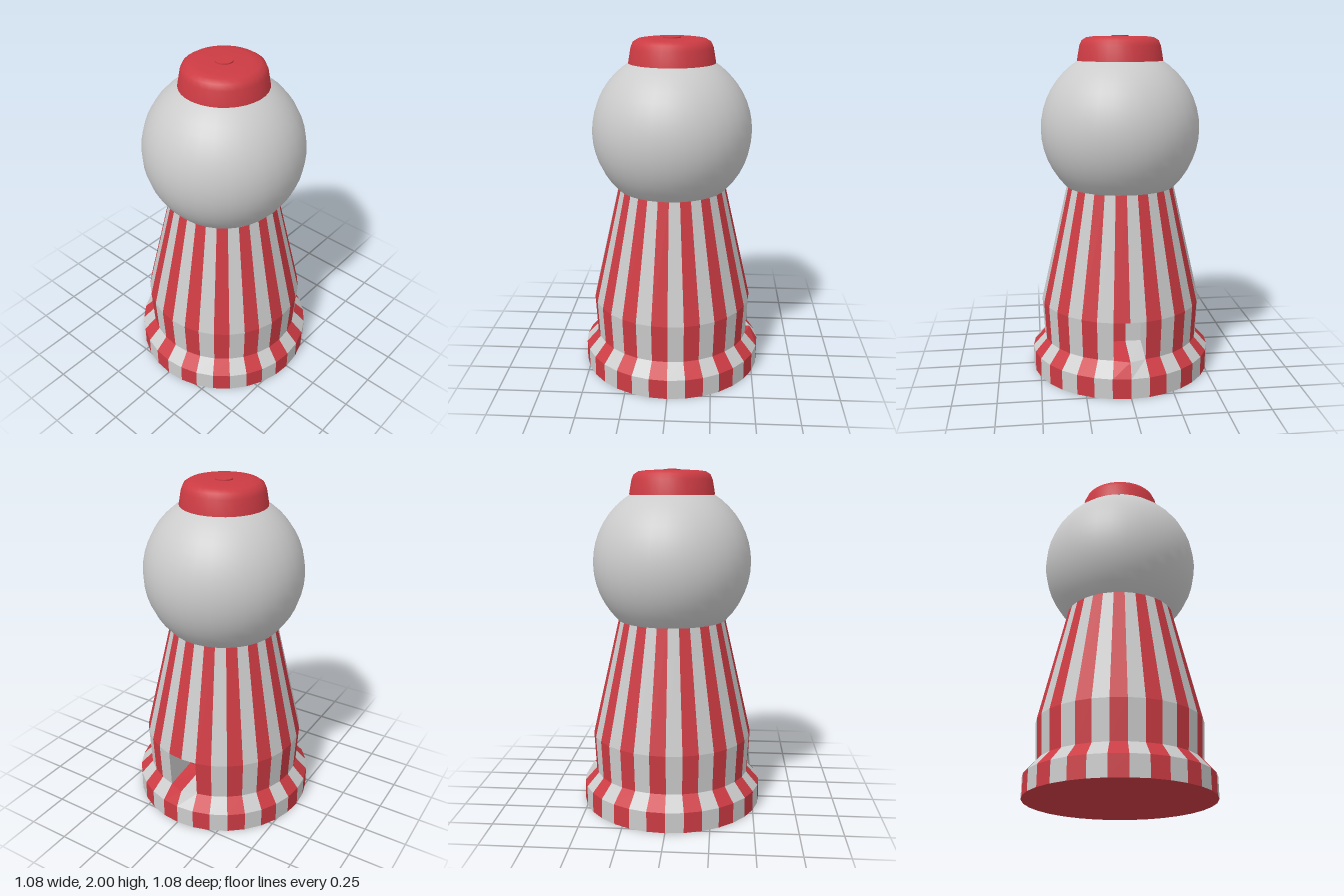
import * as THREE from 'three';
import { toCreasedNormals } from 'three/addons/utils/BufferGeometryUtils.js';

const SIDES = 32;
const STEP = (Math.PI * 2) / SIDES;
const RED = 0xcc3b43;

// Body outline from the floor up: [radius, height]
const OUTLINE = [[0.54, 0], [0.54, 0.12], [0.468, 0.2], [0.48, 0.43], [0.32, 1.125]];
const SLOT_BAND = 2; // outline band that the dispenser slot opens in
const BACK = SIDES / 2; // corner index at the middle of the back

function material(color) {
  return new THREE.MeshStandardMaterial({ color, flatShading: true, side: THREE.DoubleSide });
}

function addMesh(group, name, geometry, mat) {
  const mesh = new THREE.Mesh(geometry, mat);
  mesh.name = name;
  group.add(mesh);
  return mesh;
}

// Corner of the body at outline ring r and side k; the slot sill sticks out a little
function corner(r, k) {
  const [radius, y] = OUTLINE[r];
  const sill = r === SLOT_BAND && k === BACK ? 0.025 : 0;
  return [(radius + sill) * Math.sin(k * STEP), y, (radius + sill) * Math.cos(k * STEP)];
}

function quad(list, a, b, c, d) {
  list.push(...a, ...b, ...c, ...a, ...c, ...d);
}

function geometryFrom(list) {
  const geometry = new THREE.BufferGeometry();
  geometry.setAttribute('position', new THREE.Float32BufferAttribute(list, 3));
  geometry.computeVertexNormals();
  return geometry;
}

function buildBody() {
  const body = new THREE.Group();
  body.name = 'stripedBody';
  const white = [], red = [], jambs = [];

  for (let k = 0; k < SIDES; k++) {
    const list = k % 2 ? red : white;
    const isSlot = k === BACK - 1 || k === BACK;
    for (let r = 0; r < OUTLINE.length - 1; r++) {
      const a = corner(r, k), b = corner(r, k + 1), c = corner(r + 1, k + 1), d = corner(r + 1, k);
      if (!(isSlot && r === SLOT_BAND)) {
        quad(list, a, b, c, d);
        continue;
      }
      // Recess behind the slot: floor, back wall and roof
      const inner = (p, y) => [p[0], y, -0.26];
      const fa = inner(a, 0.23), fb = inner(b, 0.23), ra = inner(d, 0.43), rb = inner(c, 0.43);
      quad(list, a, b, fb, fa);
      quad(list, fa, fb, rb, ra);
      quad(jambs, ra, rb, c, d);
      // Side walls of the slot
      if (k < BACK) quad(jambs, a, fa, ra, d);
      else quad(jambs, fb, b, c, rb);
    }
  }
  addMesh(body, 'whiteStripes', geometryFrom(white), material(0xcccccc));
  addMesh(body, 'redStripes', geometryFrom(red), material(RED));
  addMesh(body, 'slotWalls', geometryFrom(jambs), material(0xcccccc));

  // Underside
  const bottom = new THREE.CircleGeometry(0.54, SIDES);
  bottom.rotateX(Math.PI / 2);
  addMesh(body, 'underside', bottom, material(RED));
  return body;
}

export function createModel() {
  const model = new THREE.Group();
  model.name = 'dispenser';
  model.add(buildBody());

  // Globe
  const globe = new THREE.SphereGeometry(0.465, 32, 24);
  addMesh(model, 'globe', globe, new THREE.MeshStandardMaterial({ color: 0xcccccc })).position.y = 1.462;

  // Rounded lid
  const lidProfile = [[0, 1.855], [0.25, 1.855], [0.235, 1.94], [0.222, 1.97], [0.195, 1.987], [0.15, 1.993], [0, 1.993]]
    .map(([x, y]) => new THREE.Vector2(x, y));
  const lid = toCreasedNormals(new THREE.LatheGeometry(lidProfile, SIDES), 0.7);
  addMesh(model, 'lid', lid, new THREE.MeshStandardMaterial({ color: RED, side: THREE.DoubleSide }));

  // Small button on the lid
  const button = new THREE.CylinderGeometry(0.05, 0.05, 0.012, SIDES);
  addMesh(model, 'lidButton', button, new THREE.MeshStandardMaterial({ color: RED })).position.y = 1.994;

  return model;
}
